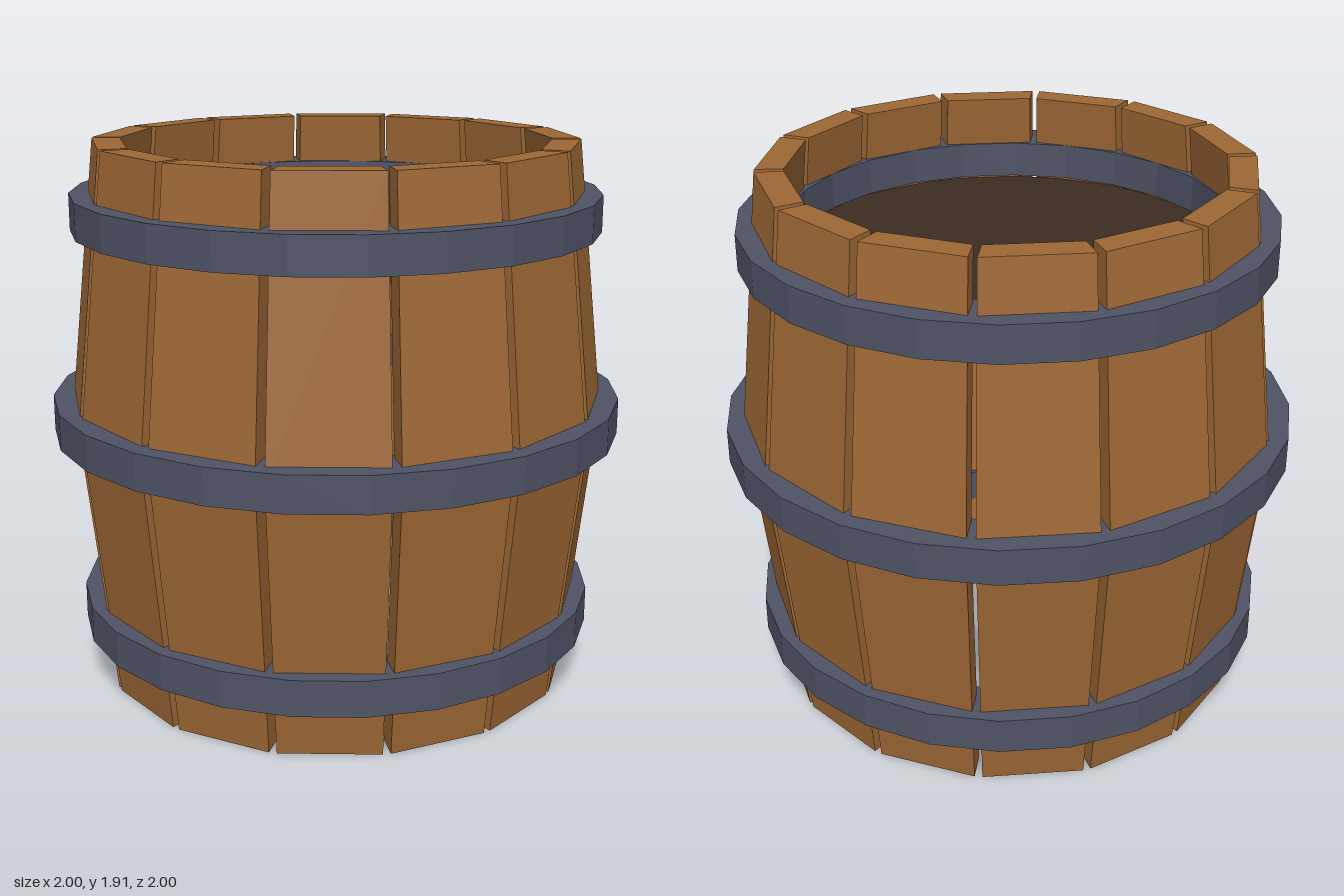
import * as THREE from 'three';

const STAVES = 14;
const STEP = (Math.PI * 2) / STAVES;
const GAP = 0.032; // angle left open beside each stave

// One bulging stave, built from wedge cross-sections: [y, outer radius, inner radius]
function staveGeometry() {
  const sections = [
    [0, 0.84, 0.742],
    [0.953, 0.945, 0.847],
    [1.906, 0.84, 0.742],
  ];
  const pos = [];
  const index = [];
  const quad = (a, b, c, d) => index.push(a, b, c, a, c, d);
  for (const [y, ro, ri] of sections) {
    for (const [r, a] of [[ro, GAP], [ro, STEP], [ri, STEP], [ri, GAP]]) {
      pos.push(r * Math.cos(a), y, r * Math.sin(a));
    }
  }
  for (let s = 0; s < sections.length - 1; s++) {
    for (let j = 0; j < 4; j++) {
      const k = (j + 1) % 4;
      quad(s * 4 + k, s * 4 + j, s * 4 + 4 + j, s * 4 + 4 + k);
    }
  }
  const top = (sections.length - 1) * 4;
  quad(0, 1, 2, 3);
  quad(top + 3, top + 2, top + 1, top);
  const indexed = new THREE.BufferGeometry();
  indexed.setAttribute('position', new THREE.Float32BufferAttribute(pos, 3));
  indexed.setIndex(index);
  const geo = indexed.toNonIndexed();
  geo.computeVertexNormals();
  return geo;
}

// Solid ring with a rectangular section
function hoopGeometry(ri, ro, y0, y1) {
  const profile = [[ri, y0], [ro, y0], [ro, y1], [ri, y1], [ri, y0]];
  const geo = new THREE.LatheGeometry(profile.map(([x, y]) => new THREE.Vector2(x, y)), 24).toNonIndexed();
  geo.computeVertexNormals();
  return geo;
}

export function createModel() {
  const model = new THREE.Group();
  model.name = 'barrel';

  const material = (name, color) => {
    const m = new THREE.MeshStandardMaterial({ color });
    m.name = name;
    m.flatShading = true;
    return m;
  };
  const wood = material('stave wood', 0x9e6835);
  const iron = material('hoop iron', 0x4f5365);
  const dark = material('dark lid wood', 0x3c2c23);

  const add = (parent, name, geo, mat) => {
    const mesh = new THREE.Mesh(geo, mat);
    mesh.name = name;
    parent.add(mesh);
    return mesh;
  };

  // Ring of staves
  const staves = new THREE.Group();
  staves.name = 'staves';
  model.add(staves);
  const stave = staveGeometry();
  for (let i = 0; i < STAVES; i++) {
    add(staves, 'stave', stave, wood).rotation.y = -i * STEP;
  }

  // Iron hoops, showing through on the inside
  add(model, 'lowerHoop', hoopGeometry(0.745, 0.917, 0.177, 0.304), iron);
  add(model, 'middleHoop', hoopGeometry(0.827, 1.0, 0.893, 1.019), iron);
  add(model, 'upperHoop', hoopGeometry(0.745, 0.917, 1.604, 1.731), iron);

  // Recessed lid; the underside of the barrel stays open
  add(model, 'lid', new THREE.CylinderGeometry(0.77, 0.77, 0.04, 24), dark).position.y = 1.572;

  return model;
}
